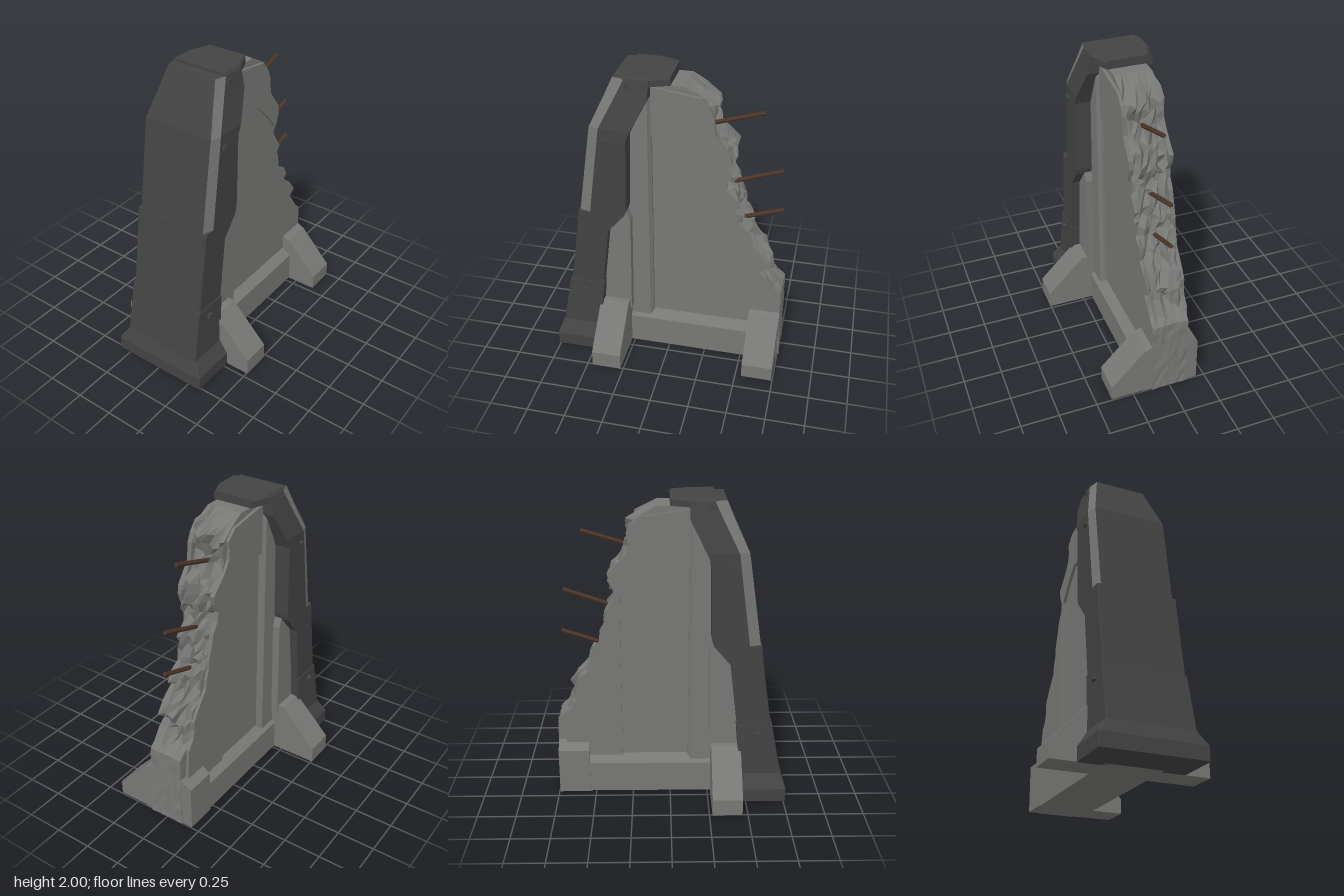
import * as THREE from 'three';

const paint = (name, color) => {
  const m = new THREE.MeshStandardMaterial({ color, flatShading: true });
  m.name = name;
  return m;
};

let seed = 7;
const rnd = () => ((seed = (seed * 16807) % 2147483647) / 2147483647);

// silhouette of the broken edge: [height, x]
const BREAK = [[0, .76], [.15, .755], [.55, .745], [.58, .7], [.68, .66], [.78, .67], [.83, .58], [.95, .53],
  [1, .5], [1.14, .46], [1.2, .44], [1.3, .41], [1.38, .39], [1.42, .4], [1.52, .41], [1.56, .36],
  [1.66, .31], [1.73, .28], [1.82, .29], [1.88, .23], [1.91, .19], [1.95, .1]];
function breakX(y) {
  const i = Math.max(1, BREAK.findIndex(p => p[0] >= y));
  const [a, b] = [BREAK[i - 1], BREAK[i]];
  return THREE.MathUtils.mapLinear(y, a[0], b[0], a[1], b[1]);
}

// skin over rings of points (counter-clockwise from above), one group per side, then caps
function loft(rings, sideMaterial = () => 0) {
  const pos = [], geo = new THREE.BufferGeometry(), n = rings[0].length, last = rings.length - 1;
  const tri = (...p) => p.forEach(v => pos.push(...v));
  for (let j = 0; j < n; j++) {
    const start = pos.length / 3, k = (j + 1) % n;
    for (let i = 0; i < last; i++) {
      const a = rings[i][j], b = rings[i][k], c = rings[i + 1][k], d = rings[i + 1][j];
      tri(a, b, c);
      tri(a, c, d);
    }
    geo.addGroup(start, pos.length / 3 - start, sideMaterial(j));
  }
  const start = pos.length / 3, lo = rings[0], hi = rings[last];
  for (let j = 1; j < n - 1; j++) {
    tri(lo[0], lo[j + 1], lo[j]);
    tri(hi[0], hi[j], hi[j + 1]);
  }
  geo.addGroup(start, pos.length / 3 - start, 0);
  geo.setAttribute('position', new THREE.Float32BufferAttribute(pos, 3));
  geo.computeVertexNormals();
  return geo;
}

const extrude = (pts, depth) => new THREE.ExtrudeGeometry(
  new THREE.Shape(pts.map(p => new THREE.Vector2(...p))), { depth, bevelEnabled: false });
// outline in x,y pushed from z0 to z1
const slab = (pts, z0, z1) => extrude(pts, z1 - z0).translate(0, 0, z0);
// outline in z,y pushed from x0 to x1
const beam = (pts, x0, x1) => extrude(pts, x1 - x0).rotateY(-Math.PI / 2).translate(x1, 0, 0);

export function createModel() {
  const group = new THREE.Group();
  const concrete = paint('concrete', 0x777775);
  const armour = paint('dark armour', 0x434344);
  const rust = paint('rusty steel', 0x4b3529);
  const add = (name, geo, mat) => {
    const mesh = new THREE.Mesh(geo, mat);
    mesh.name = name;
    group.add(mesh);
    return mesh;
  };

  // wall core with a jagged broken end
  const rows = 34, cols = 8, t = .12, rings = [];
  for (let i = 0; i <= rows; i++) {
    const y = 1.94 * i / rows, rough = y > .56 ? 1 : .12;
    const ring = [[-.3, y, -t], [-.3, y, t]];
    for (let j = 0; j <= cols; j++) {
      const edge = j === 0 || j === cols;
      const z = t * (1 - 2 * j / cols) + (edge ? 0 : (rnd() - .5) * .02 * rough);
      const dy = i === 0 || i === rows ? 0 : (rnd() - .5) * .045 * rough;
      ring.push([breakX(y) - rnd() * .075 * rough, y + dy, z]);
    }
    rings.push(ring);
  }
  add('brokenWall', loft(rings), concrete);

  // raised faces around the recessed panels
  const ragged = (y0, y1) => {
    const pts = [];
    for (let y = y0; y <= y1; y += .06) pts.push([breakX(y) - .015 - rnd() * .045, y]);
    return pts;
  };
  const panelTop = [[-.15, 1.93], [-.15, 1.6], [.13, 1.6], [.22, 1.52]];
  add('frontUpperFace', slab([...panelTop, [.35, 1.37], ...ragged(1.4, 1.93)], .11, .14), concrete);
  add('backUpperFace', slab([...panelTop, [.32, 1.4], [.32, .25], [.7, .25], ...ragged(.56, 1.93)], -.14, -.11), concrete);

  // vertical column beside the panels, with bevelled edge
  add('column', loft([.2, 1.93].map(y => [[-.32, y, -.16], [-.32, y, .16], [-.14, y, .16],
    [-.12, y, .135], [-.12, y, -.135], [-.14, y, -.16]])), concrete);

  // plinth and end block
  add('plinth', beam([[-.185, 0], [.185, 0], [.185, .21], [.12, .255], [-.12, .255], [-.185, .21]], -.5, .72), concrete);
  add('endBlock', beam([[-.195, 0], [.18, 0], [.18, .33], [.12, .36], [-.12, .36], [-.195, .31]], .54, .745), concrete);
  add('endFoot', beam([[0, 0], [.395, 0], [.395, .1], [.17, .34], [0, .34]], .54, .742), concrete);

  for (const s of [1, -1]) {
    // sloping feet and upright fins on both sides
    add('sideFoot', beam([[0, 0], [.505 * s, 0], [.505 * s, .11], [.25 * s, .37], [0, .37]], -.465, -.27), concrete);
    const fin = [[-.46, .3], [-.4, .95], [-.28, 1.1], [-.25, 1.02], [-.26, .3]];
    add('sideFin', slab(fin, s > 0 ? .1 : -.21, s > 0 ? .21 : -.1), concrete);
    // bolts on the armour
    for (const [x, y, z] of [[-.39, 1.6, .267], [-.57, .465, .282], [-.25, 1.945, .196]]) {
      const bolt = add('bolt', new THREE.BoxGeometry(.03, .03, .026), armour);
      bolt.position.set(x, y, z * s);
      bolt.rotation.z = -.2;
    }
  }

  // armour shell sections: [y, outer x, chamfer x, inner x, outer half width, side half width]
  const shell = (name, sections, stripMaterial) => add(name, loft(
    sections.map(([y, xo, xc, xi, zo, zf]) => [[xo, y, -zo], [xo, y, zo], [xc, y, zf],
      [xi, y, zf], [xi, y, -zf], [xc, y, -zf]]),
    j => (j === 1 || j === 5 ? 1 : 0)), [armour, stripMaterial]);
  shell('lowerArmour', [
    [0, -.765, -.757, -.46, .33, .338],
    [.09, -.765, -.757, -.46, .33, .338],
    [.18, -.73, -.722, -.46, .272, .28],
    [.53, -.665, -.657, -.43, .264, .272]], armour);
  shell('middleArmour', [
    [.53, -.655, -.647, -.435, .258, .266],
    [.95, -.595, -.587, -.385, .258, .266],
    [1.08, -.578, -.57, -.275, .258, .266]], armour);
  shell('upperArmour', [
    [1.08, -.572, -.5, -.275, .24, .265],
    [1.12, -.566, -.495, -.262, .24, .265],
    [1.62, -.493, -.428, -.25, .24, .265],
    [1.68, -.483, -.42, -.222, .24, .264],
    [1.87, -.395, -.325, -.125, .195, .217],
    [1.985, -.345, -.27, -.12, .17, .19]], concrete);

  // top cap
  const cap = (y, w) => [[-.28, y, -.19 + w], [-.28, y, .19 - w], [-.12, y, .185 - w],
    [0, y, .135 - w], [0, y, -.135 + w], [-.12, y, -.185 + w]];
  add('topCap', loft([cap(1.945, 0), cap(1.985, 0), cap(2, .012)]), armour);

  // reinforcing bars sticking out of the break
  for (const [x0, y0, x1, y1] of [[.2, 1.655, .56, 1.765], [.3, 1.245, .69, 1.38], [.38, .99, .71, 1.1]]) {
    const bar = add('reinforcingBar',
      new THREE.CylinderGeometry(.014, .014, Math.hypot(x1 - x0, y1 - y0), 6), rust);
    bar.position.set((x0 + x1) / 2, (y0 + y1) / 2, 0);
    bar.rotation.z = Math.atan2(y1 - y0, x1 - x0) - Math.PI / 2;
  }
  return group;
}
